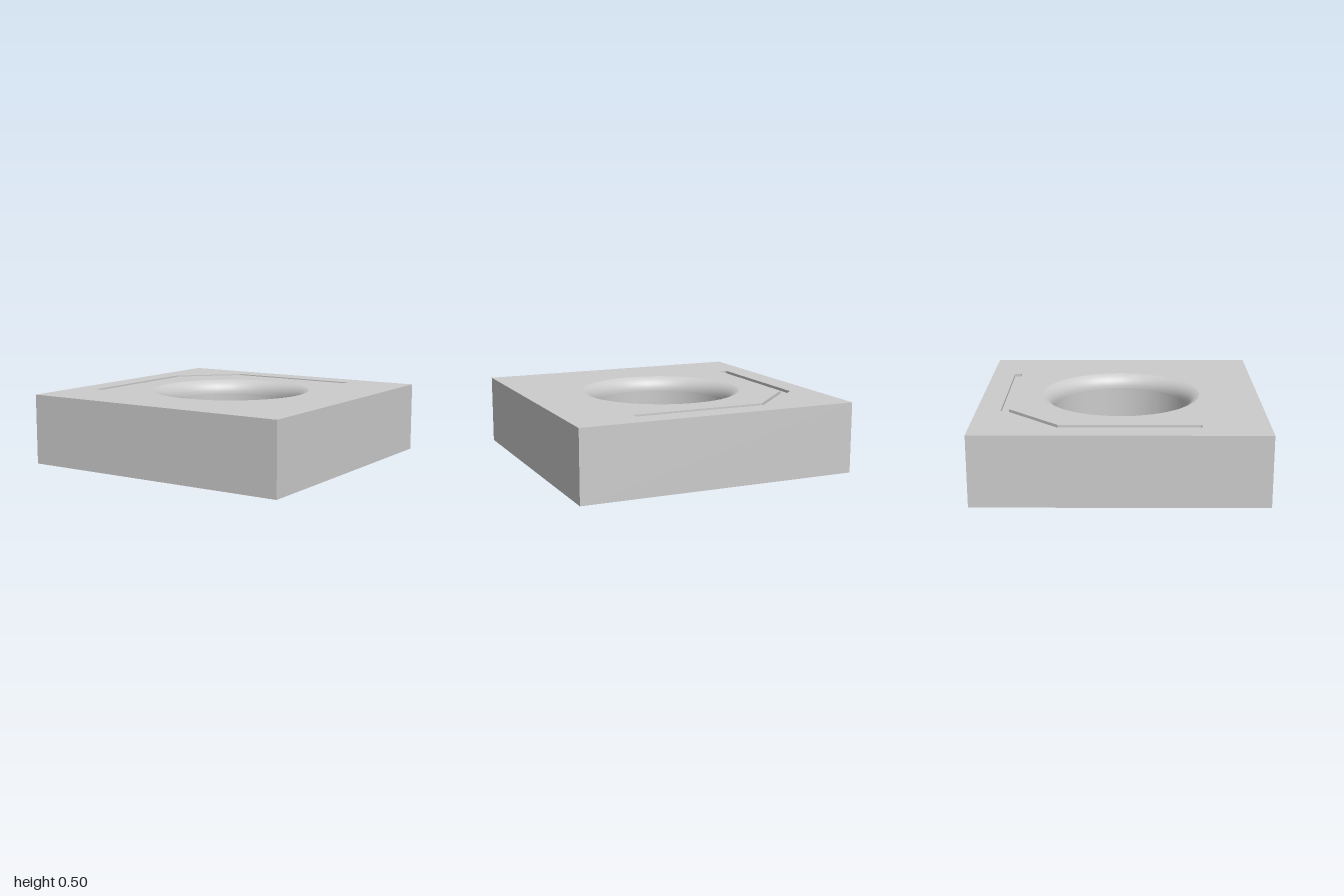
import * as THREE from 'three';

const H = 0.5;            // block height
const SEG = 32;           // sides of the round pocket
const RIM = 0.575, BORE = 0.5, LIP = 0.1, FLOOR = 0.008;
const GROOVE_DEPTH = 0.02;

export function createModel() {
  const group = new THREE.Group();
  const material = new THREE.MeshStandardMaterial({ color: 0xcccccc });
  const add = (name, geometry, y = 0) => {
    const mesh = new THREE.Mesh(geometry, material);
    mesh.name = name;
    mesh.position.y = y;
    group.add(mesh);
  };
  const flat = (shape) => new THREE.ShapeGeometry(shape).rotateX(-Math.PI / 2);

  // Block sides and underside: a box without its top face
  const box = new THREE.BoxGeometry(2, H, 2);
  const index = Array.from(box.index.array);
  index.splice(12, 6);
  box.setIndex(index);
  box.clearGroups();
  add('blockSides', box, H / 2);

  // Groove outline: two arms joined by a diagonal, ends slightly eased
  const a = 0.83, b = 0.775, e = 0.545, c = 0.008;
  const outline = [
    [-a, c - e], [c - a, -e], [-b - c, -e], [-b, c - e],
    [-b, 0.415], [-0.415, b],
    [e - c, b], [e, b + c], [e, a - c], [e - c, a],
    [-0.455, a], [-a, 0.455],
  ].map(([x, y]) => new THREE.Vector2(x, y));

  // Top face with openings for the pocket and the groove
  const top = new THREE.Shape([[-1, -1], [1, -1], [1, 1], [-1, 1]].map(([x, y]) => new THREE.Vector2(x, y)));
  const circle = [];
  for (let i = 0; i < SEG; i++) {
    const t = (i / SEG) * Math.PI * 2;
    circle.push(new THREE.Vector2(RIM * Math.cos(t), RIM * Math.sin(t)));
  }
  top.holes.push(new THREE.Path(circle), new THREE.Path(outline));
  add('topFace', flat(top), H);

  // Groove floor and walls facing inward
  add('grooveFloor', flat(new THREE.Shape(outline)), H - GROOVE_DEPTH);
  const walls = [];
  outline.forEach((p, i) => {
    const q = outline[(i + 1) % outline.length];
    const pt = [p.x, H, -p.y], qt = [q.x, H, -q.y];
    const pb = [p.x, H - GROOVE_DEPTH, -p.y], qb = [q.x, H - GROOVE_DEPTH, -q.y];
    walls.push(...pt, ...qb, ...pb, ...pt, ...qt, ...qb);
  });
  const wallGeometry = new THREE.BufferGeometry();
  wallGeometry.setAttribute('position', new THREE.Float32BufferAttribute(walls, 3));
  wallGeometry.computeVertexNormals();
  add('grooveWalls', wallGeometry);

  // Pocket: rounded lip running tangent into a straight wall
  const w = RIM - BORE;
  const R = (w * w + LIP * LIP) / (2 * w);
  const end = Math.asin(LIP / R);
  const profile = [];
  for (let i = 0; i <= 8; i++) {
    const t = end * (1 - i / 8);
    profile.push(new THREE.Vector2(BORE + R - R * Math.cos(t), H - LIP + R * Math.sin(t)));
  }
  add('pocketLip', new THREE.LatheGeometry(profile, SEG));
  add('pocketWall', new THREE.LatheGeometry(
    [new THREE.Vector2(BORE, H - LIP), new THREE.Vector2(BORE, FLOOR)], SEG));
  add('pocketFloor', new THREE.CircleGeometry(BORE, SEG).rotateX(-Math.PI / 2), FLOOR);

  return group;
}
